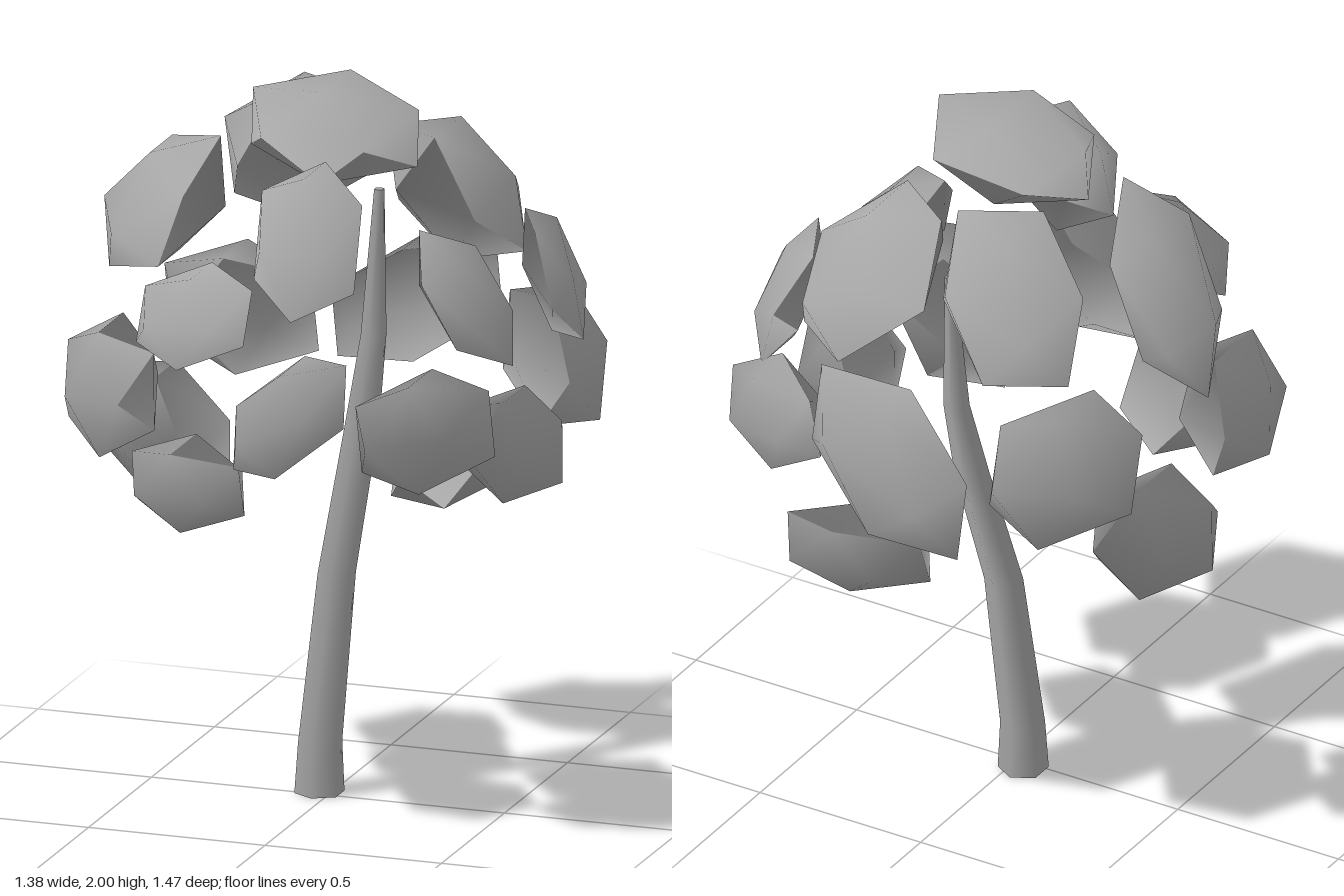
import * as THREE from 'three';
import { mergeVertices } from 'three/addons/utils/BufferGeometryUtils.js';

const CROWN = new THREE.Vector3(0, 1.2, 0);

// Leaf clumps: centre, size, and for leaning ones the lean seen from the front, top and side
const CLUMPS = [
  // crown top
  [[0.035, 1.875, 0.04], [0.49, 0.25, 0.4]],
  // front
  [[0.07, 1.645, 0.355], [0.3, 0.37, 0.31]],
  [[-0.215, 1.44, 0.46], [0.35, 0.22, 0.36], 0.25, 0.4],
  [[-0.23, 0.975, 0.465], [0.32, 0.24, 0.37]],
  [[0.09, 1.215, 0.555], [0.33, 0.33, 0.36], 0.5],
  // left side
  [[0.39, 1.14, 0.32], [0.42, 0.32, 0.38], 0.35, 0.35, 0.35],
  [[0.445, 1.47, 0.15], [0.28, 0.34, 0.27], -0.6],
  [[0.545, 1.045, 0.05], [0.29, 0.28, 0.32]],
  [[0.545, 1.43, -0.27], [0.2, 0.32, 0.38], -0.4, 0.5],
  // back
  [[0.245, 1.62, -0.34], [0.35, 0.38, 0.37], -0.3, -0.1, 0.4],
  [[0.49, 1.155, -0.43], [0.33, 0.33, 0.34], -0.2, 0.5, -0.4],
  [[0.04, 1.22, -0.595], [0.49, 0.4, 0.27], 0.5, 0.25, 0.4],
  [[0.21, 0.84, -0.47], [0.33, 0.23, 0.38], 0.3, -0.4],
  [[-0.21, 1.69, -0.37], [0.42, 0.38, 0.34], 0.3],
  // right side
  [[-0.46, 1.61, 0.005], [0.39, 0.46, 0.39], 0.6, 0.5, 0.45],
  [[-0.38, 1.215, -0.38], [0.38, 0.35, 0.38], -0.1, -0.3, 0.3],
  [[-0.505, 0.93, -0.125], [0.38, 0.34, 0.31], -0.3],
  [[-0.53, 1.155, 0.235], [0.26, 0.35, 0.35]],
];

// Trunk rings from the ground up: x, y, z, radius
const TRUNK = [
  [-0.032, 0, -0.022, 0.068],
  [-0.03, 0.14, -0.022, 0.06],
  [0, 0.6, -0.07, 0.052],
  [0.03, 0.98, -0.185, 0.047],
  [0.042, 1.22, -0.245, 0.035],
  [0.052, 1.62, -0.262, 0.014],
];

// A low-poly ball, leaned over by shearing and then fitted to its size
function clumpGeometry(centre, size, leanFront = 0, leanTop = 0.15, leanSide) {
  let geo = new THREE.IcosahedronGeometry(1, 0);
  geo.deleteAttribute('normal');
  geo.deleteAttribute('uv');
  geo = mergeVertices(geo).rotateY(Math.PI / 2);
  // by default clumps face away from the middle of the crown
  const side = leanSide ?? -2.2 * (centre[1] - CROWN.y) * centre[2];
  const s = Math.sqrt(1 - leanFront ** 2);
  const k = (side - leanFront * leanTop) / s;
  const d = Math.sqrt(1 - leanTop ** 2 - k ** 2);
  geo.applyMatrix4(new THREE.Matrix4().set(
    1, 0, 0, 0,
    leanFront, s, 0, 0,
    leanTop, k, d, 0,
    0, 0, 0, 1,
  ));
  geo.computeBoundingBox();
  const box = geo.boundingBox.getSize(new THREE.Vector3());
  geo.scale(size[0] / box.x, size[1] / box.y, size[2] / box.z);
  geo.computeVertexNormals();

  // bend the normals outward from the crown so the foliage shades as one canopy
  const { position, normal } = geo.attributes;
  const offset = new THREE.Vector3(...centre).sub(CROWN);
  const own = new THREE.Vector3();
  const outward = new THREE.Vector3();
  for (let i = 0; i < position.count; i++) {
    own.fromBufferAttribute(normal, i);
    outward.fromBufferAttribute(position, i).add(offset).normalize();
    outward.addScaledVector(own, 0.3).normalize();
    normal.setXYZ(i, outward.x, outward.y, outward.z);
  }
  return geo;
}

// A six-sided cylinder whose rings follow the trunk's bend and taper
function trunkGeometry() {
  const n = TRUNK.length - 1;
  const geo = new THREE.CylinderGeometry(1, 1, 1, 6, n);
  const p = geo.attributes.position;
  for (let i = 0; i < p.count; i++) {
    const [x, y, z, r] = TRUNK[Math.round((p.getY(i) + 0.5) * n)];
    p.setXYZ(i, x + p.getX(i) * r, y, z + p.getZ(i) * r);
  }
  return geo;
}

export function createModel() {
  const tree = new THREE.Group();
  tree.name = 'tree';
  const grey = new THREE.MeshStandardMaterial({ color: 0xa6a6a6 });
  grey.name = 'grey';

  const trunk = new THREE.Mesh(trunkGeometry(), grey);
  trunk.name = 'trunk';
  tree.add(trunk);

  const foliage = new THREE.Group();
  foliage.name = 'foliage';
  for (const [centre, size, ...leans] of CLUMPS) {
    const clump = new THREE.Mesh(clumpGeometry(centre, size, ...leans), grey);
    clump.name = 'leafClump';
    clump.position.set(...centre);
    foliage.add(clump);
  }
  tree.add(foliage);
  return tree;
}
